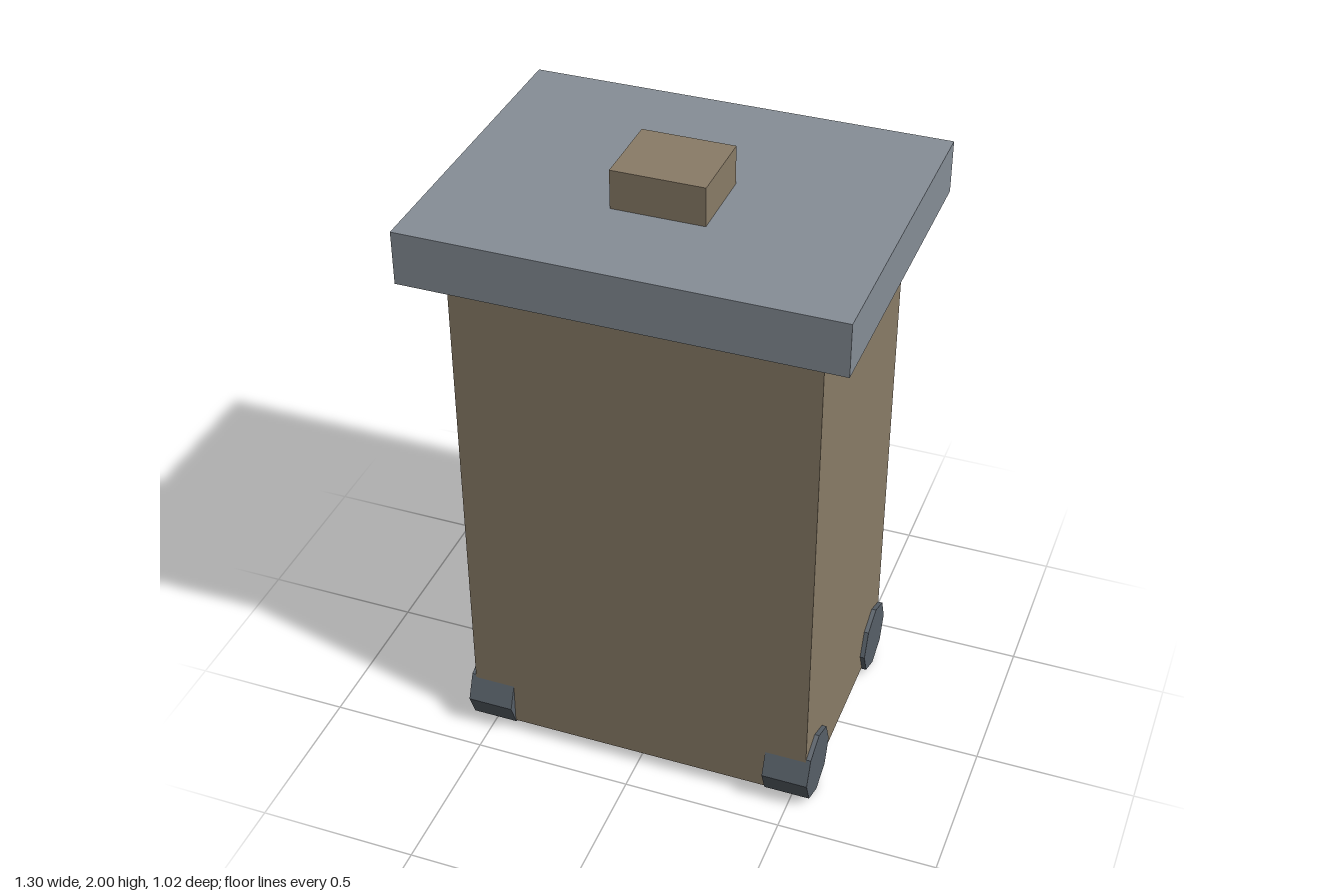
import * as THREE from 'three';

const paint = (name, color) => {
  const m = new THREE.MeshStandardMaterial({ color });
  m.name = name;
  return m;
};

export function createModel() {
  const brown = paint('brown', 0x8a7c67);
  const grey = paint('blue grey', 0x868e97);
  const dark = paint('dark grey', 0x586068);
  const model = new THREE.Group();
  model.name = 'wheeledBin';

  // Box given by its lower and upper corners
  const box = (name, material, [x0, y0, z0], [x1, y1, z1]) => {
    const mesh = new THREE.Mesh(new THREE.BoxGeometry(x1 - x0, y1 - y0, z1 - z0), material);
    mesh.position.set((x0 + x1) / 2, (y0 + y1) / 2, (z0 + z1) / 2);
    mesh.name = name;
    model.add(mesh);
  };

  box('body', brown, [-0.55, 0.045, -0.395], [0.55, 1.72, 0.395]);
  box('lid', grey, [-0.65, 1.715, -0.508], [0.65, 1.88, 0.508]);
  box('lidKnob', brown, [-0.14, 1.88, -0.06], [0.14, 2, 0.187]);

  // Raised panels on the back
  box('upperBackPanel', grey, [-0.468, 0.99, -0.435], [0.468, 1.69, -0.39]);
  box('lowerBackPanel', grey, [-0.468, 0.482, -0.435], [0.468, 0.855, -0.39]);

  // Eight-sided wheels, one at each bottom corner
  const wheelGeometry = new THREE.CylinderGeometry(0.114, 0.114, 0.145, 8).toNonIndexed();
  wheelGeometry.rotateZ(Math.PI / 2);
  wheelGeometry.computeVertexNormals();
  for (const [side, x] of [['left', 1], ['right', -1]]) {
    for (const [end, z] of [['Front', 1], ['Back', -1]]) {
      const wheel = new THREE.Mesh(wheelGeometry, dark);
      wheel.position.set(x * 0.492, 0.116, z * 0.311);
      wheel.name = `${side}${end}Wheel`;
      model.add(wheel);
    }
  }
  return model;
}
